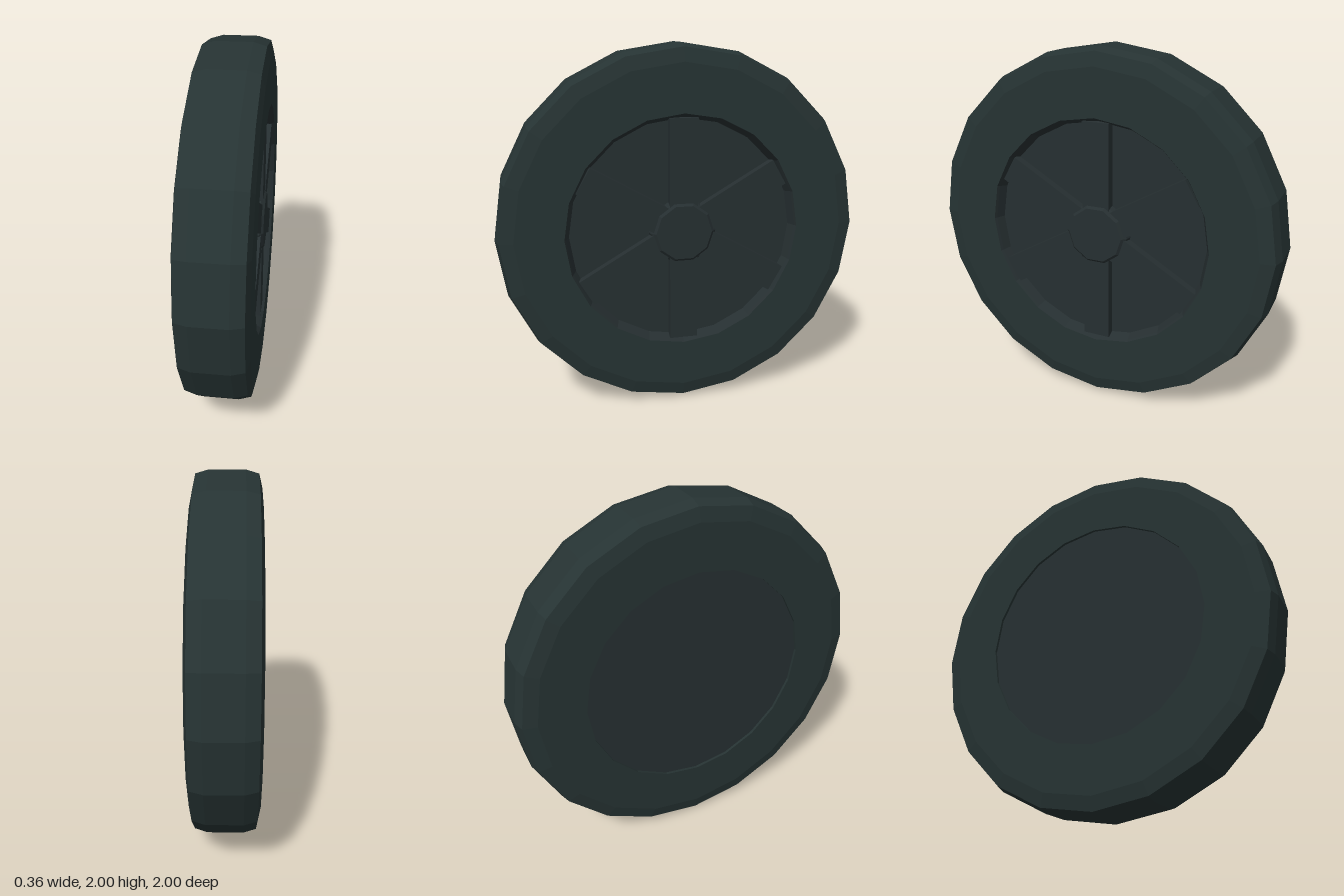
import * as THREE from 'three';

const SIDES = 20;

// Faceted normals for the low-poly look
function faceted(geometry) {
  const flat = geometry.toNonIndexed();
  flat.computeVertexNormals();
  return flat;
}

// Profile of [radius, x] pairs, spun about the x axis
function spun(profile, sides) {
  const points = profile.map(([r, x]) => new THREE.Vector2(r, x));
  return faceted(new THREE.LatheGeometry(points, sides).rotateZ(-Math.PI / 2));
}

export function createModel() {
  const rubber = new THREE.MeshStandardMaterial({ color: 0x263333 });
  rubber.name = 'darkRubber';
  const metal = new THREE.MeshStandardMaterial({ color: 0x262f31 });
  metal.name = 'darkRim';

  const wheel = new THREE.Group();
  wheel.name = 'wheel';
  const add = (name, geometry, material, parent = wheel) => {
    const mesh = new THREE.Mesh(geometry, material);
    mesh.name = name;
    parent.add(mesh);
    return mesh;
  };

  // Tyre: flat sidewalls, bevelled shoulders, flat tread
  add('tyre', spun([
    [0.645, -0.165], [0.645, -0.18], [0.905, -0.18], [0.98, -0.163], [1, -0.095],
    [1, 0.095], [0.98, 0.163], [0.905, 0.18], [0.645, 0.18],
  ], SIDES), rubber);

  // Rim: plain back plate, stepped lip and sunken dish on the outer side
  add('rimBack', spun([[0, -0.165], [0.645, -0.165]], SIDES), metal);
  add('rimDish', spun([
    [0.645, 0.18], [0.637, 0.165], [0.617, 0.118], [0, 0.118],
  ], SIDES), metal);

  // Six spokes standing on the dish
  const spokes = new THREE.Group();
  spokes.name = 'spokes';
  wheel.add(spokes);
  for (let i = 0; i < 6; i++) {
    const bar = new THREE.BoxGeometry(0.05, 0.51, 0.155).translate(0.14, 0.365, 0);
    add('spoke', bar, metal, spokes).rotation.x = i * Math.PI / 3;
  }

  // Tapered ten-sided hub
  add('hub', spun([[0.187, 0.115], [0.18, 0.155], [0.155, 0.177], [0, 0.177]], 10), metal);

  wheel.position.y = 1;
  const model = new THREE.Group();
  model.name = 'wheelModel';
  model.add(wheel);
  return model;
}
